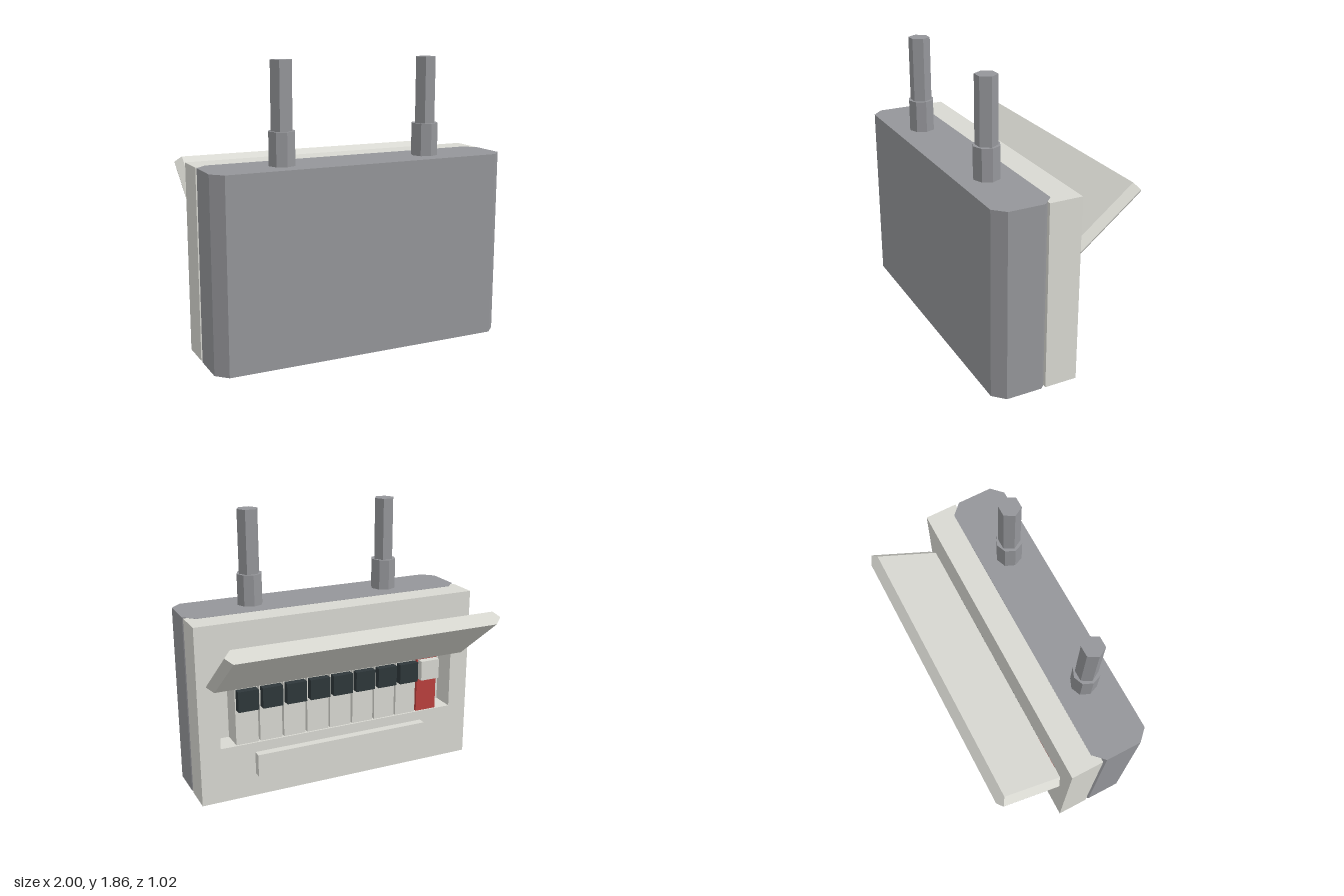
import * as THREE from 'three';

const mat = (name, color) => {
  const m = new THREE.MeshStandardMaterial({ color });
  m.name = name;
  return m;
};

export function createModel() {
  const dark = mat('darkGrey', 0x95969a);
  const light = mat('lightGrey', 0xd9d9d2);
  const black = mat('black', 0x2e373a);
  const red = mat('red', 0xbb403d);

  const model = new THREE.Group();
  model.name = 'fuseBox';

  const add = (name, geometry, material, x = 0, y = 0, z = 0) => {
    const mesh = new THREE.Mesh(geometry, material);
    mesh.name = name;
    mesh.position.set(x, y, z);
    model.add(mesh);
    return mesh;
  };
  const box = (name, material, [x0, x1], [y0, y1], [z0, z1]) =>
    add(name, new THREE.BoxGeometry(x1 - x0, y1 - y0, z1 - z0), material,
      (x0 + x1) / 2, (y0 + y1) / 2, (z0 + z1) / 2);

  // Slab with chamfered corners, centred, extruded along z
  const chamferedSlab = (hw, hh, cut, depth) => {
    const shape = new THREE.Shape([
      [hw - cut, -hh], [hw, cut - hh], [hw, hh - cut], [hw - cut, hh],
      [cut - hw, hh], [-hw, hh - cut], [-hw, cut - hh], [cut - hw, -hh],
    ].map(([x, y]) => new THREE.Vector2(x, y)));
    return new THREE.ExtrudeGeometry(shape, { depth, bevelEnabled: false })
      .translate(0, 0, -depth / 2);
  };

  // Main housing
  const height = 1.225;
  add('housing', chamferedSlab(1, 0.19, 0.072, height).rotateX(-Math.PI / 2),
    dark, 0, height / 2, 0.32);

  // Rear frame with the opening for the breakers
  const open = { x: 0.86, y0: 0.383, y1: 0.84 };
  const frame = new THREE.Shape([
    new THREE.Vector2(-1, 0.001), new THREE.Vector2(1, 0.001),
    new THREE.Vector2(1, height - 0.001), new THREE.Vector2(-1, height - 0.001),
  ]);
  frame.holes.push(new THREE.Path([
    new THREE.Vector2(-open.x, open.y0), new THREE.Vector2(-open.x, open.y1),
    new THREE.Vector2(open.x, open.y1), new THREE.Vector2(open.x, open.y0),
  ]));
  add('rearFrame', new THREE.ExtrudeGeometry(frame, { depth: 0.215, bevelEnabled: false }),
    light, 0, 0, -0.04);
  box('recessBack', light, [-open.x, open.x], [open.y0, open.y1], [0.122, 0.15]);

  // Row of breakers with toggles; the last one is the red main switch
  const count = 9;
  for (let i = 0; i < count; i++) {
    const x = 0.672 - i * 0.168;
    const main = i === count - 1;
    box(main ? 'mainBreaker' : 'breaker', main ? red : light,
      [x - 0.0775, x + 0.0775], [open.y0 + 0.001, 0.825], [-0.03, 0.122]);
    box(main ? 'mainToggle' : 'toggle', main ? light : black,
      [x - 0.07, x + 0.07], [0.63, 0.77], [-0.08, -0.02]);
  }

  // Label bar below the opening
  box('labelBar', light, [-0.625, 0.625], [0.16, 0.315], [-0.095, -0.035]);

  // Raised lid
  const lid = add('lid', chamferedSlab(0.948, 0.046, 0.044, 0.516), light, 0, 1.0, -0.278);
  lid.rotation.x = Math.atan2(0.32, 0.405);

  // Conduits with collars
  for (const x of [-0.5, 0.5]) {
    add('conduitCollar', new THREE.CylinderGeometry(0.087, 0.087, 0.225, 8).toNonIndexed(),
      dark, x, 1.3225, 0.32);
    add('conduit', new THREE.CylinderGeometry(0.071, 0.071, 0.5, 6).rotateY(Math.PI / 6).toNonIndexed(),
      dark, x, 1.61, 0.32);
  }
  model.traverse((o) => {
    if (o.name.startsWith('conduit')) o.geometry.computeVertexNormals();
  });

  return model;
}
